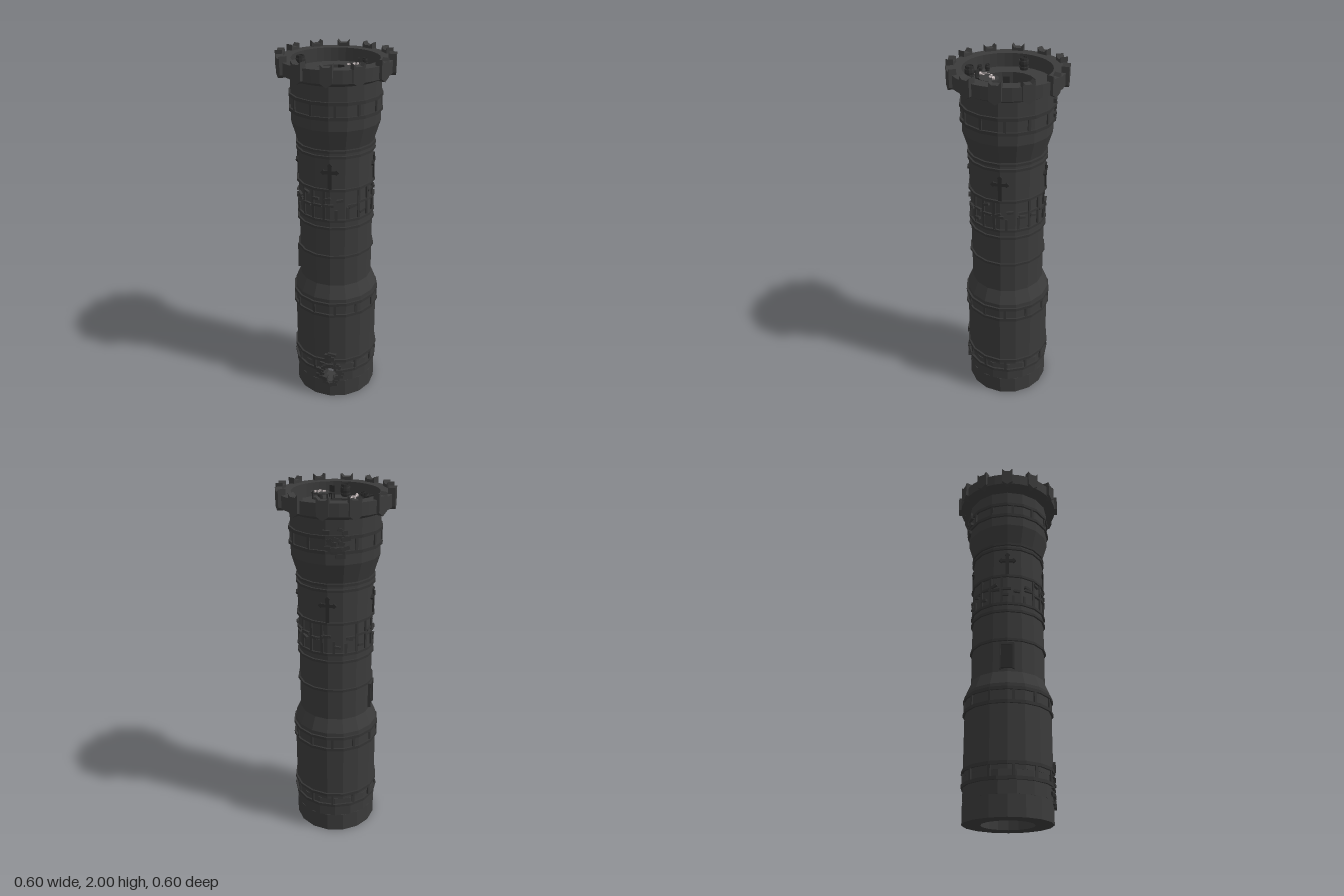
import * as THREE from 'three';

const mat = (name, color, extra = {}) => Object.assign(new THREE.MeshStandardMaterial({ color, ...extra }), { name });

export function createModel() {
  const tower = new THREE.Group();
  tower.name = 'tower';
  const stone = mat('stone', 0x3b3b3b);
  const trim = mat('trim stone', 0x343434, { side: THREE.DoubleSide });
  const wood = mat('dark wood', 0x2b2b2b);
  const bone = mat('bone', 0xd6caca);
  let seed = 7;
  const rnd = (a, b) => a + (b - a) * ((seed = (seed * 16807) % 2147483647) / 2147483647);

  const add = (name, geo, m, parent = tower) => {
    const mesh = new THREE.Mesh(geo, m);
    mesh.name = name;
    parent.add(mesh);
    return mesh;
  };
  const group = (name, x = 0, y = 0, z = 0, parent = tower) => {
    const g = new THREE.Group();
    g.name = name;
    g.position.set(x, y, z);
    parent.add(g);
    return g;
  };
  const box = (w, h, d) => new THREE.BoxGeometry(w, h, d);
  const cyl = (r1, r2, h, n = 10) => {
    const g = new THREE.CylinderGeometry(r1, r2, h, n).toNonIndexed();
    g.computeVertexNormals();
    return g;
  };
  // faceted closed profile of revolution
  const lathe = (pts, sides = 16, start = 0, len = Math.PI * 2) => {
    const p = [...pts, pts[0]].map(([r, y]) => new THREE.Vector2(r, y));
    const g = new THREE.LatheGeometry(p, sides, start, len).toNonIndexed();
    g.computeVertexNormals();
    return g;
  };
  // set an object on the wall, its local z pointing outwards
  const onWall = (o, phi, r, y) => {
    o.position.set(r * Math.sin(phi), y, r * Math.cos(phi));
    o.rotation.y = phi;
    return o;
  };
  const deg = Math.PI / 180;

  // wall: a foot, a storey with a breach, then the shaft up to the deck
  const IN = 0.14, R = 0.235, M = 0.203;
  add('wallFoot', lathe([[IN, 0], [R, 0], [R, 0.11], [IN, 0.11]]), stone);
  const gap = 11.25 * deg, mid = 45 * deg;
  add('breachedWall', lathe([[IN, 0.11], [R, 0.11], [R, 0.23], [IN, 0.23]], 15, mid + gap, Math.PI * 2 - 2 * gap), stone);
  for (const s of [-1, 1]) {
    const jamb = add('breachJamb', box(0.012, 0.12, R - IN), stone);
    onWall(jamb, mid + s * gap * 1.03, (R + IN) / 2, 0.17);
  }
  add('shaft', lathe([[IN, 0.23], [R, 0.23], [R, 0.68], [M, 0.755], [M, 1.55], [R, 1.655],
    [R, 1.89], [0.227, 1.9], [IN, 1.9]]), stone);

  // parapet with twelve notched merlons
  add('parapet', lathe([[0.225, 1.88], [0.238, 1.88], [0.29, 1.905], [0.29, 1.97], [0.225, 1.97]], 36), stone);
  const ms = new THREE.Shape([[-0.03, 0.02], [0, 0], [0.03, 0.02], [0.03, 0.11], [0.016, 0.095], [-0.016, 0.095], [-0.03, 0.11]]
    .map(([x, y]) => new THREE.Vector2(x, y)));
  const merlonGeo = new THREE.ExtrudeGeometry(ms, { depth: 0.038, bevelEnabled: false });
  for (let i = 0; i < 12; i++) onWall(add('merlon', merlonGeo, stone), (15 + 30 * i) * deg, 0.266, 1.89);

  // ring bands, paired ones joined by short uprights
  const band = (y, r, start, len, h = 0.017) =>
    add('band', lathe([[r - 0.012, y - h / 2], [r + 0.01, y - h / 2], [r + 0.01, y + h / 2], [r - 0.012, y + h / 2]],
      Math.max(1, Math.round((len ?? 6.283) / 0.3927)), start, len), trim);
  const post = (phi, r, y0, y1, w = 0.014) =>
    onWall(add('upright', box(w, y1 - y0, 0.018), trim), phi, r - 0.004, (y0 + y1) / 2);
  band(0.262, R);
  band(0.187, R, mid + 0.25, Math.PI * 2 - 0.5);
  for (const y of [0.577, 0.65, 1.72, 1.795]) band(y, R);
  for (const y of [0.937, 1.11, 1.155, 1.33, 1.51, 1.54]) band(y, M, 0, undefined, 0.014);
  for (const [a, b] of [[0.187, 0.262], [0.577, 0.65], [1.72, 1.795]])
    for (let i = 0; i < 12; i++) post((22.5 + 30 * i) * deg, R, a, b);

  // broken lattice round the middle storey
  for (let i = 0; i < 20; i++) {
    const phi = i * 18 * deg;
    if (i % 5 < 3) post(phi, M, 1.16, 1.33);
    else post(phi, M, 1.16, rnd(1.19, 1.24));
    if (i % 5 !== 3) band(rnd(1.235, 1.26), M, phi, 0.25, 0.013);
    const chip = onWall(add('latticeChip', box(0.035, 0.014, 0.02), trim), phi + 0.1, M, rnd(1.19, 1.31));
    chip.rotation.z = rnd(-0.5, 0.5);
  }

  // cross-shaped arrow slits
  for (let i = 0; i < 4; i++) {
    const c = onWall(group('arrowSlit'), (45 + 90 * i) * deg, M, 1.4);
    add('slitUpright', box(0.02, 0.13, 0.012), wood, c);
    add('slitBar', box(0.07, 0.018, 0.012), wood, c).position.y = 0.03;
    for (const [x, y] of [[-0.035, 0.03], [0.035, 0.03], [0, 0.066]]) {
      const tip = add('slitTip', box(0.02, 0.02, 0.012), wood, c);
      tip.position.set(x, y, 0);
      tip.rotation.z = Math.PI / 4;
    }
  }

  // door
  const door = onWall(group('door'), -46 * deg, M - 0.004, 0.84);
  add('doorLeaf', box(0.066, 0.135, 0.016), wood, door);
  for (const s of [-1, 1]) add('doorJamb', box(0.009, 0.145, 0.024), trim, door).position.x = s * 0.036;
  add('doorLintel', box(0.08, 0.01, 0.024), trim, door).position.y = 0.072;

  // loose bricks round the breach and the damaged upper wall
  const rubble = (phi, y, spread, n, hole) => {
    for (let i = 0; i < n; i++) {
      const a = (i / n) * Math.PI * 2, k = hole ? rnd(0.85, 1.3) : rnd(0.2, 1);
      const b = add('looseBrick', box(rnd(0.025, 0.05), rnd(0.014, 0.024), rnd(0.02, 0.035)), trim);
      onWall(b, phi + Math.cos(a) * k * spread / R, R - 0.004, y + Math.sin(a) * k * spread * 1.2);
      b.rotation.z = rnd(-0.35, 0.35);
    }
  };
  rubble(mid, 0.17, 0.052, 20, true);
  rubble(mid, 0.28, 0.03, 6, false);
  rubble(-123 * deg, 1.765, 0.065, 16, false);

  // spiral stair going down under the deck
  const wedge = new THREE.CylinderGeometry(0.145, 0.145, 0.02, 6, 1, false, Math.PI / 2, Math.PI / 2);
  add('deckWedge', wedge, trim).position.y = 1.89;
  const stair = group('spiralStair');
  for (let i = 0; i < 72; i++)
    onWall(add('tread', box(0.022, 0.03, 0.066), stone, stair), Math.PI + (i + 0.5) * 10 * deg, 0.11, 1.878 - i * 0.0078);
  add('stairCore', cyl(0.08, 0.08, 0.46, 24), stone).position.y = 1.53;
  add('lowerFloor', cyl(0.145, 0.145, 0.02, 16), stone).position.y = 1.3;

  // candle holder in the stairwell
  const lamp = group('candleHolder', 0.003, 1.8, 0.013);
  add('lampHub', cyl(0.018, 0.022, 0.05, 8), wood, lamp);
  for (let i = 0; i < 4; i++) {
    const arm = group('lampArm', 0, 0, 0, lamp);
    arm.rotation.y = i * Math.PI / 2;
    add('armBar', box(0.045, 0.008, 0.01), wood, arm).position.x = 0.022;
    add('candleCup', cyl(0.01, 0.007, 0.02, 8), wood, arm).position.set(0.043, 0.008, 0);
  }

  // furniture on the deck
  const D = 1.9;
  const table = group('table', 0.12, D, -0.018);
  add('tableTop', cyl(0.048, 0.048, 0.007, 20), stone, table).position.y = 0.042;
  add('tableLeg', cyl(0.01, 0.018, 0.04, 8), wood, table).position.y = 0.02;
  for (let i = 0; i < 8; i++)
    add('cup', cyl(0.005, 0.004, 0.008, 6), bone, table).position.set(-0.015 + rnd(-0.011, 0.011), 0.05, -0.035 + i * 0.007);
  for (const [x, z, ry] of [[0.06, -0.08, 2.5], [0.128, 0.052, 0.5]]) {
    const chair = group('chair', x, D, z);
    chair.rotation.y = ry;
    add('chairSeat', box(0.032, 0.005, 0.032), wood, chair).position.y = 0.028;
    add('chairBack', box(0.032, 0.035, 0.005), wood, chair).position.set(0, 0.047, 0.016);
    for (const sx of [-1, 1]) for (const sz of [-1, 1])
      add('chairLeg', box(0.005, 0.028, 0.005), wood, chair).position.set(sx * 0.013, 0.014, sz * 0.013);
  }
  for (const [x, z, r] of [[-0.168, 0.1, 0.026], [0.13, 0.145, 0.026], [-0.002, 0.187, 0.014], [0.039, 0.196, 0.014], [-0.03, -0.212, 0.014]]) {
    const barrel = group('barrel', x, D, z), h = r * 2.4;
    add('barrelBody', lathe([[0, 0], [r * 0.8, 0], [r, h / 2], [r * 0.8, h], [r * 0.7, h], [r * 0.7, h * 0.9], [0, h * 0.9]], 10), wood, barrel);
    for (const k of [0.25, 0.75]) add('barrelHoop', cyl(r, r, h * 0.08, 10), trim, barrel).position.y = h * k;
  }

  // skeletons lying on the deck and on the top steps, head along local +x
  const skeleton = (x, y, z, ry) => {
    const s = group('skeleton', x, y, z);
    s.rotation.y = ry;
    const limb = (ax, az, bx, bz, w = 0.004) => {
      const l = add('boneShaft', box(Math.hypot(bx - ax, bz - az), w, w), bone, s);
      l.position.set((ax + bx) / 2, 0.006, (az + bz) / 2);
      l.rotation.y = -Math.atan2(bz - az, bx - ax);
    };
    const skull = add('skull', new THREE.SphereGeometry(0.008, 8, 6), bone, s);
    skull.position.set(0.032, 0.009, 0);
    limb(-0.012, 0, 0.026, 0);
    for (let i = 0; i < 4; i++) limb(0.004 + i * 0.005, -0.009, 0.004 + i * 0.005, 0.009, 0.003);
    limb(-0.012, -0.008, -0.012, 0.008, 0.006);
    for (const k of [-1, 1]) {
      limb(-0.012, k * 0.006, -0.034, k * 0.013);
      limb(-0.034, k * 0.013, -0.056, k * 0.011, 0.003);
      limb(0.02, k * 0.009, 0.006, k * 0.02, 0.003);
      limb(0.006, k * 0.02, -0.01, k * 0.018, 0.003);
    }
  };
  skeleton(-0.032, 1.893, -0.113, 0.2);
  skeleton(0.068, D, 0.166, -0.9);

  return tower;
}
